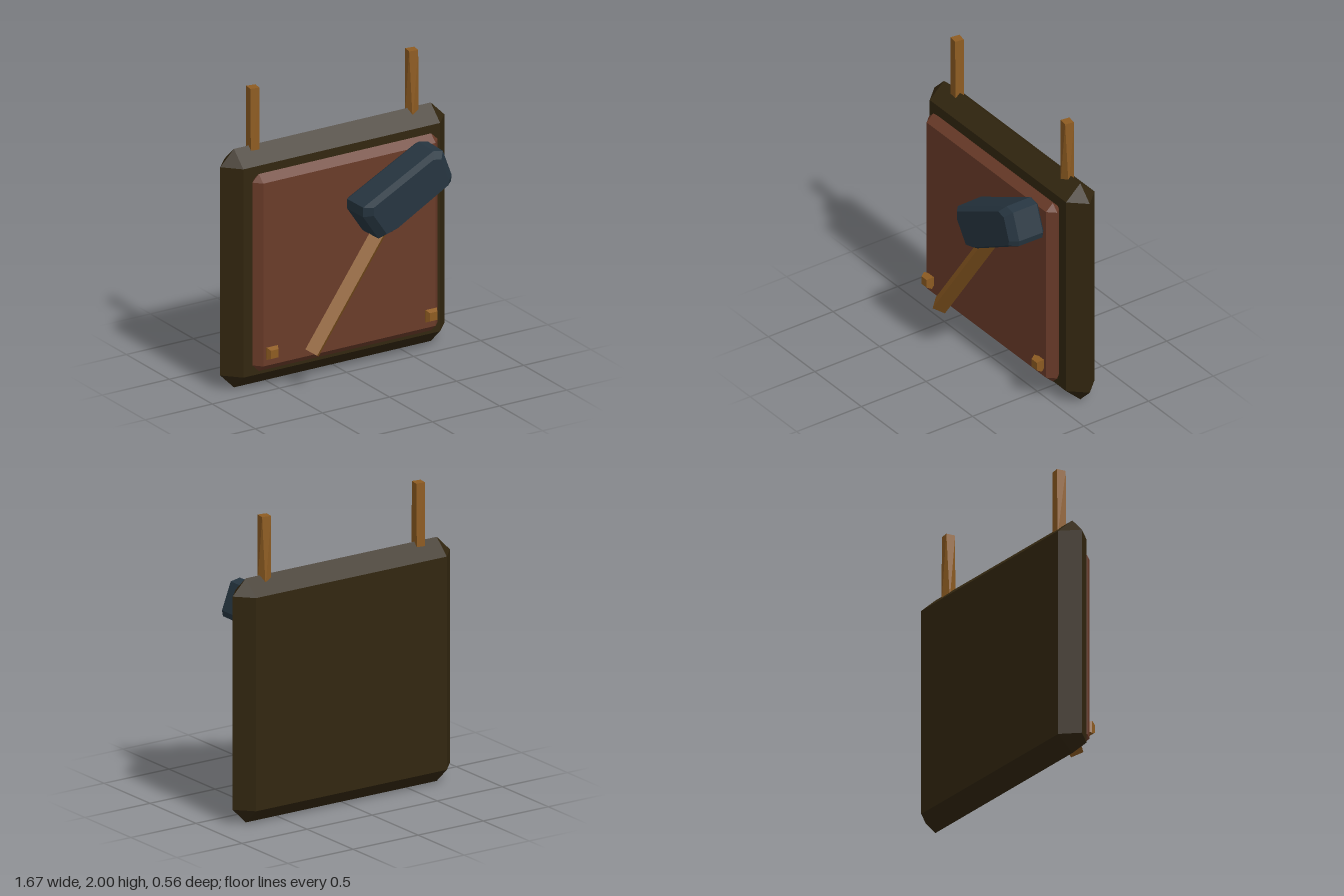
import * as THREE from 'three';
import { ConvexGeometry } from 'three/addons/geometries/ConvexGeometry.js';

const V = (x, y, z) => new THREE.Vector3(x, y, z);
const SIGNS = [[1, 1], [-1, 1], [-1, -1], [1, -1]];

// Slab whose rim comes to an edge halfway through its thickness, with cut corners
function slab(halfW, halfH, bevel, depth) {
  const pts = [];
  for (const [sx, sy] of SIGNS) {
    pts.push(V(sx * halfW, sy * (halfH - bevel), 0), V(sx * (halfW - bevel), sy * halfH, 0));
    for (const z of [-depth / 2, depth / 2]) pts.push(V(sx * (halfW - bevel), sy * (halfH - bevel), z));
  }
  return new ConvexGeometry(pts);
}

// Small square stud, widest in the middle
function stud(half, cap, depth) {
  const pts = [];
  for (const [sx, sy] of SIGNS) {
    pts.push(V(sx * half, sy * half, 0));
    for (const z of [-depth / 2, depth / 2]) pts.push(V(sx * cap, sy * cap, z));
  }
  return new ConvexGeometry(pts);
}

// Square post, turned a little between its foot and its top
function twistedPost(width, height, footAngle, topAngle) {
  const box = new THREE.BoxGeometry(width, height, width);
  const p = box.attributes.position;
  const v = V(0, 0, 0), up = V(0, 1, 0);
  for (let i = 0; i < p.count; i++) {
    v.fromBufferAttribute(p, i).applyAxisAngle(up, p.getY(i) > 0 ? topAngle : footAngle);
    p.setXYZ(i, v.x, v.y, v.z);
  }
  const geo = box.toNonIndexed();
  geo.computeVertexNormals();
  return geo;
}

// Bar with a diamond cross-section between two points
function diamondBar(a, b, r) {
  const dir = b.clone().sub(a).normalize();
  const side = V(dir.y, -dir.x, 0).multiplyScalar(r);
  const front = V(0, 0, r);
  const pts = [];
  for (const end of [a, b]) {
    for (const s of [1, -1]) {
      pts.push(end.clone().addScaledVector(side, s), end.clone().addScaledVector(front, s));
    }
  }
  return new ConvexGeometry(pts);
}

// Hammer head: uneven eight-sided outline, chamfered front and back
function headGeometry() {
  const outline = [
    [-0.03, 1.195], [0.5, 1.468], [0.57, 1.455], [0.637, 1.275],
    [0.63, 1.235], [0.18, 0.985], [0.085, 0.96], [-0.03, 1.13],
  ];
  const cx = 0.31, cy = 1.215;
  const pts = [];
  for (const [z, s] of [[0.035, 0.93], [0.055, 1], [0.235, 0.99], [0.28, 0.84]]) {
    for (const [x, y] of outline) pts.push(V(cx + (x - cx) * s, cy + (y - cy) * s, z));
  }
  return new ConvexGeometry(pts);
}

export function createModel() {
  const material = (name, color) => {
    const m = new THREE.MeshStandardMaterial({ color });
    m.name = name;
    return m;
  };
  const darkWood = material('dark wood', 0x32260f);
  const redWood = material('red wood', 0x6a3b29);
  const paleWood = material('pale wood', 0x8e5c22);
  const steel = material('blue steel', 0x263540);

  const model = new THREE.Group();
  model.name = 'hammerSign';
  const add = (name, geo, mat, x = 0, y = 0, z = 0) => {
    const mesh = new THREE.Mesh(geo, mat);
    mesh.name = name;
    mesh.position.set(x, y, z);
    model.add(mesh);
  };

  // Board and raised panel
  add('board', slab(0.835, 0.805, 0.102, 0.22), darkWood, 0, 0.805, -0.165);
  add('panel', slab(0.69, 0.665, 0.048, 0.105), redWood, 0, 0.805, -0.018);

  // Hanging posts and lower studs, on both sides
  for (const [side, s] of [['left', 1], ['right', -1]]) {
    const foot = s > 0 ? 0.35 : -0.05;
    add(side + 'HangingPost', twistedPost(0.062, 0.46, foot, -0.15), paleWood, s * 0.592, 1.77, -0.166);
    add(side + 'Stud', stud(0.042, 0.028, 0.06), paleWood, s * 0.592, 0.28, 0.06);
  }

  // Hammer
  add('hammerHandle', diamondBar(V(-0.347, 0.252, 0.14), V(0.25, 1.105, 0.14), 0.06), paleWood);
  add('hammerHead', headGeometry(), steel);

  return model;
}
